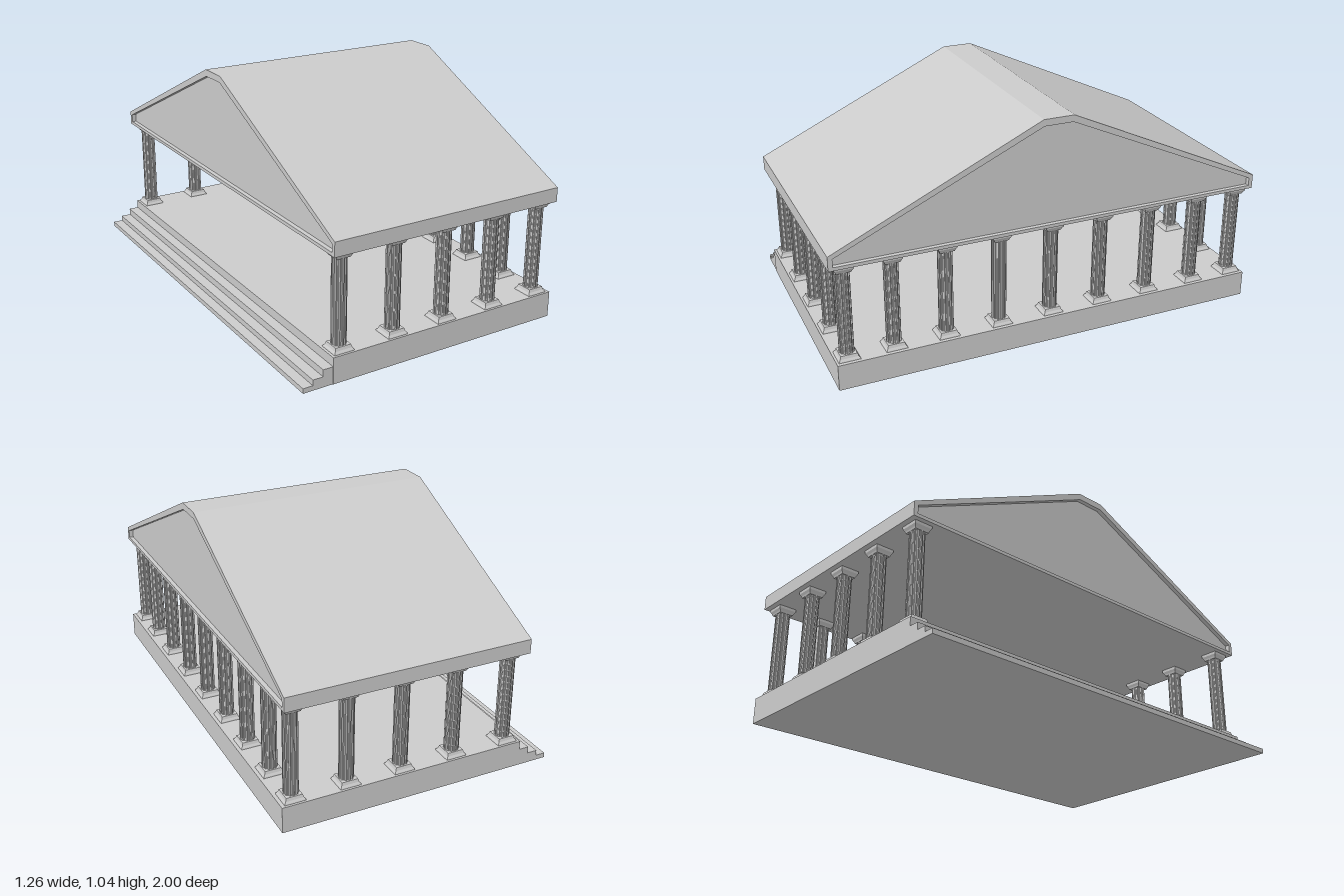
import * as THREE from 'three';

const grey = new THREE.MeshStandardMaterial({ color: 0xcccccc, flatShading: true });

function add(parent, name, geometry) {
  const mesh = new THREE.Mesh(geometry, grey);
  mesh.name = name;
  parent.add(mesh);
  return mesh;
}

// Box given by its lower and upper limits
function block(parent, name, x0, x1, y0, y1, z0, z1) {
  add(parent, name, new THREE.BoxGeometry(x1 - x0, y1 - y0, z1 - z0))
    .position.set((x0 + x1) / 2, (y0 + y1) / 2, (z0 + z1) / 2);
}

// Closed loft along x through [x, ring] sections, ring points being [z, y]
function loft(sections) {
  const n = sections[0][1].length;
  const pos = [], idx = [];
  for (const [x, ring] of sections) for (const [z, y] of ring) pos.push(x, y, z);
  for (let i = 0; i < sections.length - 1; i++) {
    for (let j = 0; j < n; j++) {
      const a = i * n + j, b = i * n + (j + 1) % n;
      idx.push(a, a + n, b + n, a, b + n, b);
    }
  }
  const last = (sections.length - 1) * n;
  for (let j = 1; j < n - 1; j++) {
    idx.push(0, j, j + 1, last, last + j + 1, last + j);
  }
  const geo = new THREE.BufferGeometry();
  geo.setAttribute('position', new THREE.Float32BufferAttribute(pos, 3));
  geo.setIndex(idx);
  const flat = geo.toNonIndexed();
  flat.computeVertexNormals();
  return flat;
}

// Symmetrical gable outline
const gable = (halfZ, bottom, eave, ridgeZ, ridge) => [
  [halfZ, bottom], [halfZ, eave], [ridgeZ, ridge],
  [-ridgeZ, ridge], [-halfZ, eave], [-halfZ, bottom],
];

// Square moulding from [half width, y] profile points
function squareMoulding(profile) {
  const pts = profile.map(([h, y]) => new THREE.Vector2(h * Math.SQRT2, y));
  return new THREE.LatheGeometry(pts, 4, Math.PI / 4);
}

// Round shaft with vertical flutes
function flutedShaft(y0, y1) {
  const flutes = 12, pts = [];
  for (let i = 0; i < flutes; i++) {
    [[0, 0.0325], [0.35, 0.0325], [0.52, 0.0285], [0.83, 0.0285]].forEach(([t, r]) => {
      const a = ((i + t - 0.175) / flutes) * Math.PI * 2;
      pts.push(new THREE.Vector2(r * Math.cos(a), r * Math.sin(a)));
    });
  }
  const geo = new THREE.ExtrudeGeometry(new THREE.Shape(pts), { depth: y1 - y0, bevelEnabled: false });
  return geo.rotateX(-Math.PI / 2).translate(0, y0, 0);
}

export function createModel() {
  const model = new THREE.Group();
  model.name = 'temple';

  // Platform and the three steps along its left-hand edge
  block(model, 'platform', -0.497, 0.63, 0, 0.118, -0.99, 0.99);
  const stepX = [-0.635, -0.59, -0.543, -0.497];
  [0.022, 0.047, 0.078].forEach((h, i) =>
    block(model, 'step', stepX[i], stepX[i + 1], 0, h, -0.99, 0.988));

  // Roof with recessed gable ends
  const outer = gable(1, 0.55, 0.615, 0.07, 1.045);
  const inner = gable(0.98, 0.565, 0.602, 0.066, 1.015);
  const x0 = -0.502, x1 = 0.62, recess = 0.02;
  add(model, 'roof', loft([
    [x0 + recess, inner], [x0, inner], [x0, outer],
    [x1, outer], [x1, inner], [x1 - recess, inner],
  ]));

  // Column parts shared by every column
  const base = squareMoulding([
    [0, 0.118], [0.047, 0.118], [0.046, 0.122], [0.04, 0.13], [0.036, 0.143], [0, 0.143],
  ]);
  const shaft = flutedShaft(0.14, 0.528);
  const capital = squareMoulding([
    [0, 0.52], [0.032, 0.52], [0.035, 0.528], [0.041, 0.538], [0.042, 0.55], [0, 0.55],
  ]);
  function column(x, z) {
    const g = new THREE.Group();
    g.name = 'column';
    add(g, 'columnBase', base);
    add(g, 'columnShaft', shaft);
    add(g, 'columnCapital', capital);
    g.position.set(x, 0, z);
    model.add(g);
  }

  // Front and back rows, then the long closed side; the step side stays open
  const endZ = 0.933;
  for (const x of [-0.438, -0.18, 0.07, 0.32, 0.567]) {
    column(x, endZ);
    column(x, -endZ);
  }
  for (const z of [0.728, 0.492, 0.247, 0.002, -0.241, -0.483, -0.724]) column(0.567, z);

  return model;
}
